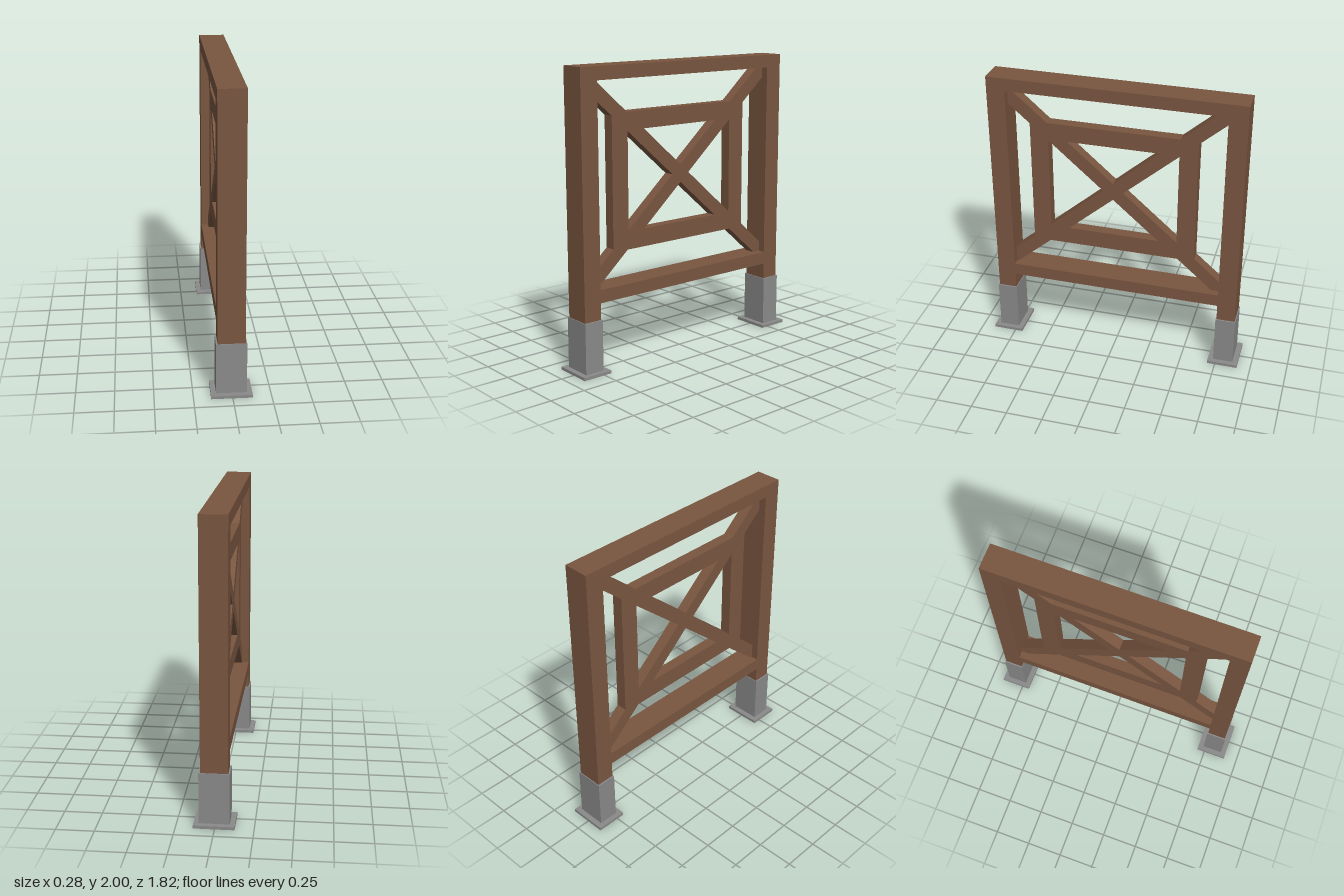
import * as THREE from 'three';

export function createModel() {
  const model = new THREE.Group();
  model.name = 'fencePanel';
  const wood = new THREE.MeshStandardMaterial({ color: 0x7a5640 });
  wood.name = 'brown wood';
  const metal = new THREE.MeshStandardMaterial({ color: 0x8a8a8a });
  metal.name = 'grey metal';

  // The whole panel is turned very slightly about the vertical axis
  const panel = new THREE.Group();
  panel.name = 'panel';
  panel.rotation.y = -0.0062;
  model.add(panel);

  // Box centred on x = 0, given by its y and z limits
  function bar(name, width, y0, y1, z0, z1, material = wood) {
    const mesh = new THREE.Mesh(new THREE.BoxGeometry(width, y1 - y0, z1 - z0), material);
    mesh.position.set(0, (y0 + y1) / 2, (z0 + z1) / 2);
    mesh.name = name;
    panel.add(mesh);
    return mesh;
  }

  // Outer frame
  const W = 0.178, postIn = 0.738, postOut = 0.865;
  bar('topRail', W, 1.912, 2, -postIn, postIn);
  bar('bottomRail', W, 0.477, 0.565, -postIn, postIn);

  // Foot plate with an opening under the post
  const plateShape = new THREE.Shape([
    [-0.133, -0.106], [0.133, -0.106], [0.133, 0.106], [-0.133, 0.106],
  ].map(([x, y]) => new THREE.Vector2(x, y)));
  plateShape.holes.push(new THREE.Path([
    [-0.066, -0.046], [-0.066, 0.046], [0.066, 0.046], [0.066, -0.046],
  ].map(([x, y]) => new THREE.Vector2(x, y))));
  const plateGeometry = new THREE.ExtrudeGeometry(plateShape, { depth: 0.02, bevelEnabled: false });
  plateGeometry.rotateX(-Math.PI / 2);

  for (const [side, s] of [['front', 1], ['back', -1]]) {
    const mid = s * (postIn + postOut) / 2;
    const half = (postOut - postIn) / 2;
    bar(side + 'Post', W, 0.004, 2, mid - half, mid + half);
    bar(side + 'Sleeve', 0.198, 0.02, 0.365, mid - 0.069, mid + 0.069, metal);
    const plate = new THREE.Mesh(plateGeometry, metal);
    plate.name = side + 'FootPlate';
    plate.position.z = mid;
    panel.add(plate);
  }

  // Thinner inner frame, set in the middle of the panel depth
  const T = 0.076, cz = 0.021, cy = 1.238;
  bar('innerTopRail', T, 1.572, 1.693, cz - 0.446, cz + 0.446);
  bar('innerBottomRail', T, 0.78, 0.902, cz - 0.446, cz + 0.446);
  for (const [side, s] of [['Front', 1], ['Back', -1]]) {
    const mid = cz + s * 0.509;
    bar('inner' + side + 'Stile', T, 0.78, 1.693, mid - 0.063, mid + 0.063);
  }

  // Crossed braces reaching into the corners of the outer frame
  for (const s of [1, -1]) {
    const brace = bar(s > 0 ? 'fallingBrace' : 'risingBrace', T, cy - 0.046, cy + 0.046, cz - 1.02, cz + 1.02);
    brace.rotation.x = s * 0.717;
  }
  return model;
}
